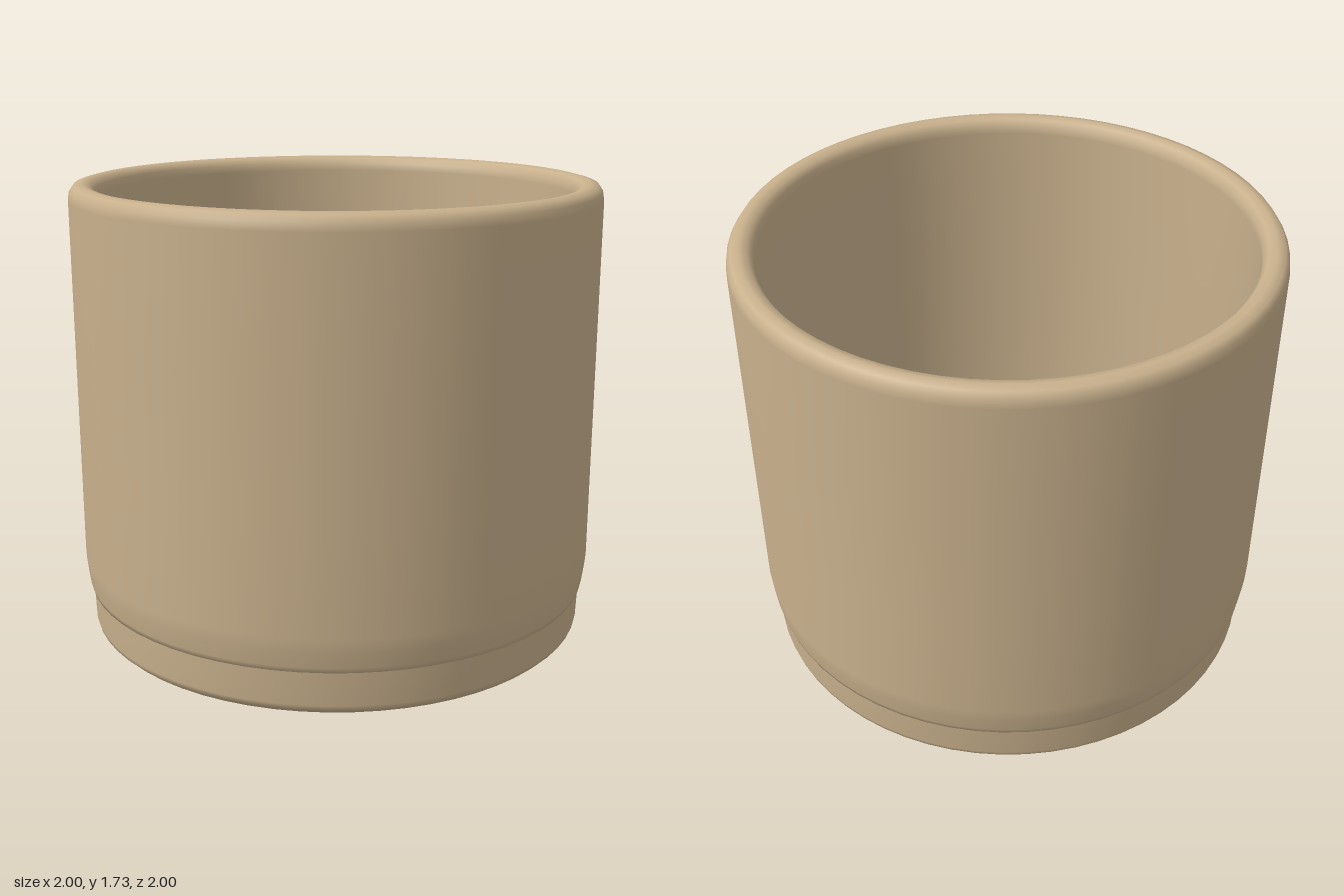
import * as THREE from 'three';

const SEGMENTS = 64;

// Revolve a list of [radius, height] pairs around the y axis
function turned(name, profile, material) {
  const points = profile.map(([r, y]) => new THREE.Vector2(r, y));
  const mesh = new THREE.Mesh(new THREE.LatheGeometry(points, SEGMENTS), material);
  mesh.name = name;
  return mesh;
}

export function createModel() {
  const group = new THREE.Group();
  group.name = 'planter';

  const clay = new THREE.MeshStandardMaterial({ color: 0xc8b08c });
  clay.name = 'sand clay';

  // Foot: low disc with softened lower edge, slightly inset under the pot
  group.add(turned('foot', [
    [0, 0], [0.92, 0], [0.945, 0.003], [0.965, 0.022], [0.97, 0.04],
    [0.975, 0.17],
  ], clay));

  // Pot: tapered base, straight wall, rounded rim, hollow inside
  group.add(turned('pot', [
    [0.97, 0.17], [0.982, 0.17], [0.987, 0.19], [0.995, 0.25], [1, 0.3],
    [1, 0.7], [1, 1.2], [1, 1.67],
    [0.995, 1.7], [0.98, 1.722], [0.95, 1.73], [0.92, 1.722], [0.905, 1.7], [0.9, 1.67],
    [0.9, 1.2], [0.9, 0.7], [0.9, 0.3],
    [0.893, 0.25], [0.87, 0.21], [0.83, 0.185], [0.78, 0.18], [0, 0.18],
  ], clay));

  return group;
}
